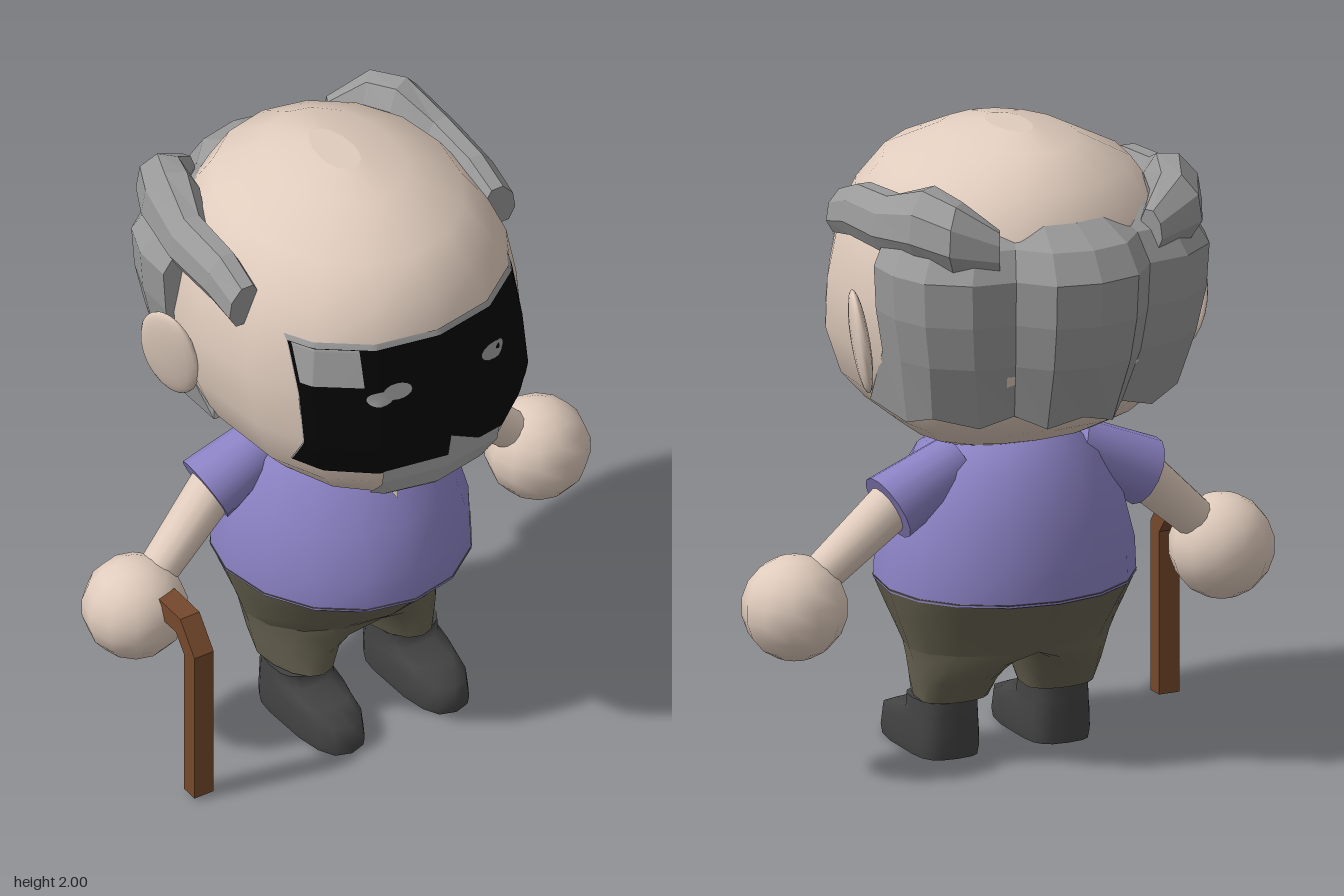
import * as THREE from 'three';

const mat = (name, color) => {
  const m = new THREE.MeshStandardMaterial({ color });
  m.name = name;
  return m;
};
const SIDES = 16;
const soft = (v, power) => Math.sign(v) * Math.abs(v) ** power;

export function createModel() {
  const skin = mat('skin', 0xe0ccbd), hairGrey = mat('hair grey', 0x9a9a9a);
  const faceGrey = mat('face grey', 0xa0a0a0), beardGrey = mat('beard grey', 0xacacac);
  const black = mat('face black', 0x050505), purple = mat('shirt purple', 0x8b82c4);
  const olive = mat('trouser olive', 0x6a6553), charcoal = mat('shoe charcoal', 0x434343);
  const wood = mat('cane brown', 0x75492c);

  const model = new THREE.Group();
  model.name = 'elderlyMan';
  const add = (name, geometry, material, parent = model) => {
    const mesh = new THREE.Mesh(geometry, material);
    mesh.name = name;
    parent.add(mesh);
    return mesh;
  };

  // Skin closed loops together, with sharp-edged caps; loops turn anticlockwise seen from the last one
  function loft(rings, flat = false) {
    const n = rings[0].length, end = rings.length * n, index = [];
    for (let i = 0; i < rings.length - 1; i++) {
      for (let j = 0; j < n; j++) {
        const a = i * n + j, b = i * n + (j + 1) % n;
        index.push(a, b, b + n, a, b + n, a + n);
      }
    }
    for (let j = 1; j < n - 1; j++) {
      index.push(end, end + j + 1, end + j, end + n, end + n + j, end + n + j + 1);
    }
    const points = [...rings, rings[0], rings[rings.length - 1]];
    let g = new THREE.BufferGeometry();
    g.setAttribute('position', new THREE.Float32BufferAttribute(points.flat(2), 3));
    g.setIndex(index);
    if (flat) g = g.toNonIndexed();
    g.computeVertexNormals();
    return g;
  }

  // Horizontal section: half width, front and back reach; power < 1 squares it off
  function ring([y, a, front, back, power = 1], cx = 0, cz = 0) {
    return Array.from({ length: SIDES }, (_, j) => {
      const t = j / SIDES * Math.PI * 2, c = soft(Math.cos(t), power);
      return [cx + a * soft(Math.sin(t), power), y, cz + c * (c > 0 ? front : back)];
    });
  }
  const body = (sections, ...centre) => loft(sections.map(s => ring(s, ...centre)));

  // Depth of a lofted body's front at (x, y)
  function frontZ(sections, x, y) {
    let i = 0;
    while (i < sections.length - 2 && sections[i + 1][0] < y) i++;
    const k = (y - sections[i][0]) / (sections[i + 1][0] - sections[i][0]);
    const lower = ring(sections[i]), upper = ring(sections[i + 1]);
    const at = (j, axis) => lower[j][axis] + (upper[j][axis] - lower[j][axis]) * k;
    const ax = Math.abs(x);
    let j = 0;
    while (j < SIDES / 4 - 1 && at(j + 1, 0) < ax) j++;
    return at(j, 2) + (at(j + 1, 2) - at(j, 2)) * (ax - at(j, 0)) / (at(j + 1, 0) - at(j, 0));
  }
  function wrap(geometry, sections, lift) {
    const p = geometry.attributes.position;
    for (let i = 0; i < p.count; i++) p.setZ(i, frontZ(sections, p.getX(i), p.getY(i)) + lift);
    geometry.computeVertexNormals();
    return geometry;
  }
  const patch = (x0, x1, y0, y1) =>
    new THREE.PlaneGeometry(x1 - x0, y1 - y0, 64, 24).translate((x0 + x1) / 2, (y0 + y1) / 2, 0);

  // Head
  const head = [
    [0.98, 0.12, 0.28, 0.05], [1.0, 0.2, 0.41, 0.1], [1.04, 0.3, 0.5, 0.22, 0.9],
    [1.1, 0.38, 0.56, 0.33, 0.8], [1.18, 0.45, 0.6, 0.42, 0.76], [1.33, 0.51, 0.63, 0.49, 0.82],
    [1.5, 0.525, 0.6, 0.52, 0.9], [1.66, 0.495, 0.57, 0.52, 0.9], [1.77, 0.45, 0.53, 0.48, 0.95],
    [1.885, 0.37, 0.44, 0.42], [1.97, 0.2, 0.25, 0.28], [2.0, 0.06, 0.1, 0.13],
  ];
  add('head', body(head), skin);

  // Face plates
  add('faceBorder', wrap(patch(-0.405, 0.392, 1.225, 1.68), head, 0.005), faceGrey);
  add('faceMask', wrap(patch(-0.405, 0.386, 1.225, 1.665), head, 0.011), black);
  add('beard', wrap(patch(-0.21, 0.21, 1.08, 1.23), head, 0.013), beardGrey);
  const nose = new THREE.Shape([[0, 1.225], [0.14, 1.225], [0, 1.32]].map(p => new THREE.Vector2(...p)));
  add('nose', wrap(new THREE.ShapeGeometry(nose), head, 0.015), beardGrey);
  add('browPatch', wrap(patch(-0.4, -0.25, 1.54, 1.665), head, 0.015), faceGrey);
  for (const [x, y, w, h] of [[-0.155, 1.515, 0.048, 0.028], [-0.21, 1.5, 0.04, 0.025], [0.2, 1.52, 0.05, 0.028]]) {
    const eye = new THREE.CircleGeometry(1, 16).scale(w, h, 1).translate(x, y, 0);
    add('eye', wrap(eye, head, 0.015), faceGrey);
  }

  // Back hair: one profile repeated around the back of the skull
  const profile = [
    [0.72, 1.8], [0.91, 1.74], [1, 1.65], [0.985, 1.51], [0.935, 1.37], [0.8, 1.16], [0.6, 1.18],
  ];
  const half = [[0.14, -0.61], [0.23, -0.51], [0.37, -0.49], [0.49, -0.4], [0.535, -0.28], [0.535, -0.15]];
  const columns = [...half].reverse().concat([[0, -0.64]], half.map(([x, z]) => [-x, z]));
  add('backHair', loft(columns.map(([x, z], c) => profile.map(([s, y], i) => {
    const end = c === 0 || c === columns.length - 1, low = i > 4;
    const flare = low && Math.abs(x) > 0.4 ? 0.06 : 0;
    const notch = low && c % 2 === 0 ? 0.03 : 0;
    return [x * (s + flare), y + notch - (end && low ? 0.02 : 0), z * s + (end && low ? 0.14 : 0)];
  })), true), hairGrey);

  // Tufts over the temples: x, y, z, half thickness, half height, outward turn
  const tuft = [
    [0.465, 1.727, 0.2, 0.055, 0.068, 0], [0.465, 1.762, 0.08, 0.06, 0.08, 0],
    [0.465, 1.772, -0.12, 0.065, 0.085, 0.1], [0.425, 1.805, -0.28, 0.09, 0.108, 0.5],
    [0.375, 1.785, -0.4, 0.085, 0.1, 0.8], [0.26, 1.74, -0.46, 0.04, 0.06, 1.1],
  ];
  const tuftGeometry = loft(tuft.map(([x, y, z, w, h, turn]) =>
    Array.from({ length: 8 }, (_, j) => {
      const t = (j + 0.5) / 8 * Math.PI * 2, up = Math.sin(t) * h * 1.08;
      const out = -Math.cos(t) * w - up * 0.15;
      return [x + out * Math.cos(turn), y + up, z - out * Math.sin(turn)];
    })), true);

  // Torso
  const shirt = [
    [0.55, 0.405, 0.445, 0.352], [0.66, 0.4, 0.44, 0.35], [0.8, 0.365, 0.385, 0.32],
    [0.95, 0.29, 0.29, 0.27], [1.03, 0.19, 0.19, 0.19],
  ];
  add('shirt', body(shirt), purple);

  // Neckline: a plate tapered to a point at the bottom
  const neckline = new THREE.PlaneGeometry(0.15, 0.13, 8, 12).translate(0, 0.945, 0);
  const np = neckline.attributes.position;
  for (let i = 0; i < np.count; i++) np.setX(i, np.getX(i) * (np.getY(i) - 0.88) / 0.13);
  add('neckline', wrap(neckline, shirt, 0.008), skin);

  // Trouser seat, its lowest section shared with the tops of the legs
  add('hips', body([
    [0.36, 0.335, 0.255, 0.21], [0.41, 0.352, 0.31, 0.24],
    [0.47, 0.375, 0.365, 0.285], [0.56, 0.407, 0.447, 0.354],
  ]), olive);

  // Leg sections: height, centre, outer and inner half widths, front and back reach
  const legGeometry = loft([
    [0.185, 0.18, 0.11, 0.11, 0.205, 0.06], [0.26, 0.16, 0.15, 0.12, 0.205, 0.12],
    [0.32, 0.1, 0.222, 0.085, 0.225, 0.175], [0.36, 0, 0.335, 0, 0.255, 0.21],
  ].map(([y, cx, outer, inner, front, back]) =>
    Array.from({ length: SIDES }, (_, j) => {
      const t = j / SIDES * Math.PI * 2, s = Math.sin(t), c = Math.cos(t);
      return [cx + s * (s > 0 ? outer : inner), y, c * (c > 0 ? front : back)];
    })));

  const limb = (from, to, r0, r1) => {
    const a = new THREE.Vector3(...from), d = new THREE.Vector3(...to).sub(a);
    const g = new THREE.CylinderGeometry(r1, r0, d.length(), 14);
    g.applyQuaternion(new THREE.Quaternion().setFromUnitVectors(
      new THREE.Vector3(0, 1, 0), d.clone().normalize()));
    return g.translate(a.x + d.x / 2, a.y + d.y / 2, a.z + d.z / 2);
  };

  // Paired parts, built on +x and mirrored
  for (const [name, sign] of [['left', 1], ['right', -1]]) {
    const side = new THREE.Group();
    side.name = name + 'Side';
    side.scale.x = sign;
    model.add(side);

    add('templeHair', tuftGeometry, hairGrey, side);
    const ear = add('ear', new THREE.SphereGeometry(1, 16, 12), skin, side);
    ear.scale.set(0.028, 0.165, 0.11);
    ear.position.set(0.55, 1.395, -0.09);
    ear.rotation.set(0, -0.35, -0.15);

    add('sleeve', limb([0.2, 0.96, -0.05], [0.44, 0.84, -0.06], 0.085, 0.11), purple, side);
    add('forearm', limb([0.38, 0.88, -0.055], [0.66, 0.63, -0.01], 0.08, 0.062), skin, side);
    const hand = add('hand', new THREE.SphereGeometry(0.165, 12, 9), skin, side);
    hand.position.set(0.733, 0.548, -0.005);

    add('trouserLeg', legGeometry, olive, side);
    add('shoe', body([
      [0, 0.1, 0.31, 0.11, 0.7], [0.03, 0.105, 0.315, 0.115, 0.7], [0.09, 0.103, 0.3, 0.115, 0.7],
      [0.12, 0.1, 0.22, 0.115, 0.7], [0.135, 0.1, 0.11, 0.115, 0.7], [0.18, 0.098, 0.105, 0.113, 0.7],
    ], 0.19, 0.07), charcoal, side);
  }

  // Walking cane, outlined in depth and height
  const cane = new THREE.Shape([
    [0.26, 0.01], [0.32, 0.01], [0.32, 0.55], [0.24, 0.65],
    [0.1, 0.65], [0.1, 0.585], [0.215, 0.585], [0.26, 0.53],
  ].map(p => new THREE.Vector2(...p)));
  add('cane', new THREE.ExtrudeGeometry(cane, { depth: 0.07, bevelEnabled: false })
    .rotateY(-Math.PI / 2).translate(-0.655, 0, 0), wood);

  return model;
}
